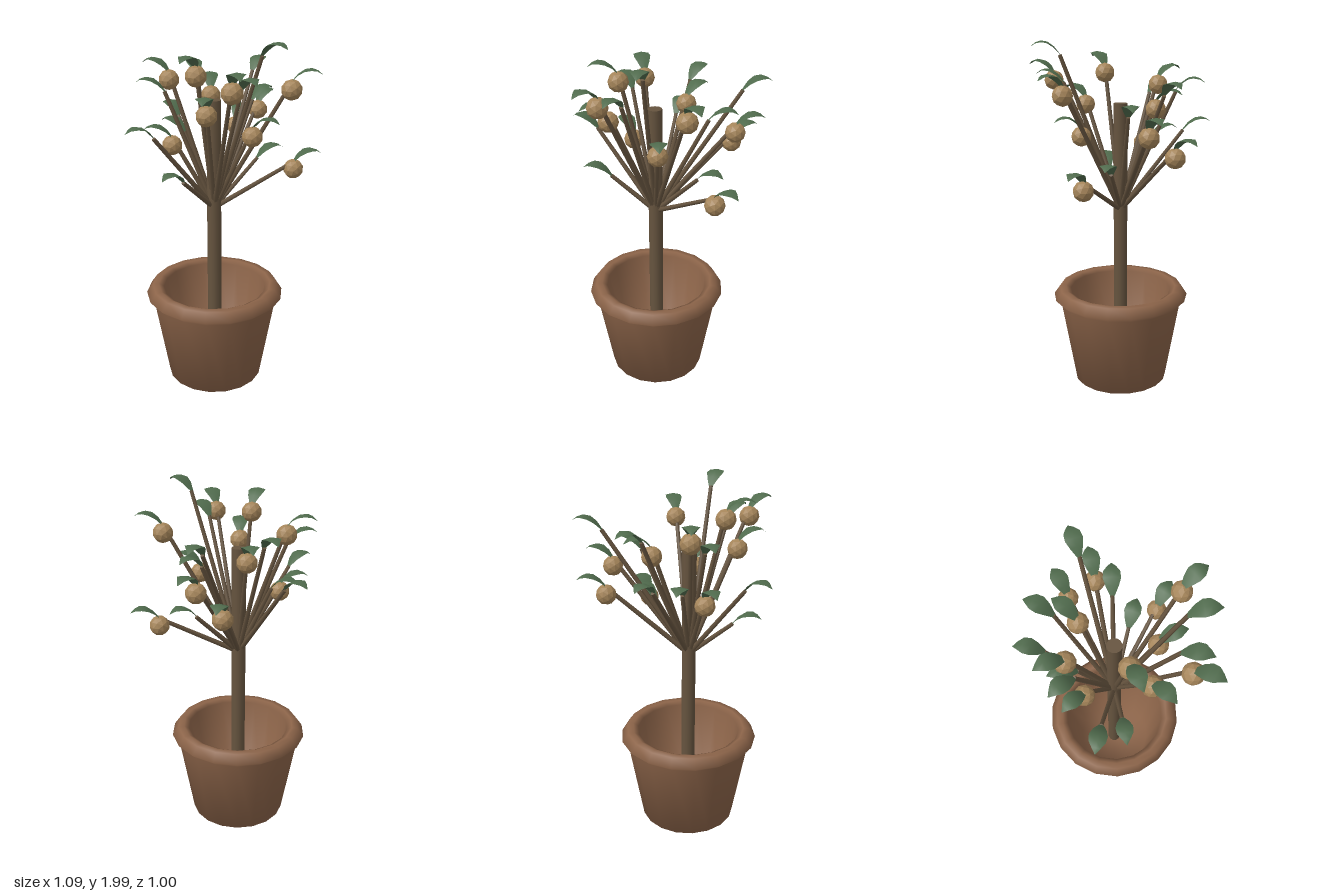
import * as THREE from 'three';

const mat = (name, color, extra = {}) => {
  const m = new THREE.MeshStandardMaterial({ color, ...extra });
  m.name = name;
  return m;
};

const CX = -0.075, CZ = -0.025; // trunk axis

// Branch tips: x, y, z, and 1 where a fruit hangs
const BRANCHES = [
  [0.03, 1.50, -0.36, 0], [0.11, 1.73, -0.28, 0], [0.09, 1.67, -0.17, 1], [0.345, 1.445, -0.18, 1],
  [0.39, 1.735, -0.095, 0], [0.355, 1.56, -0.03, 1], [0.21, 1.61, 0.03, 0], [0.155, 1.30, 0.107, 0],
  [0.247, 1.285, 0.288, 1], [0.10, 1.76, 0.35, 1], [-0.05, 1.52, 0.21, 1], [-0.113, 1.915, 0.305, 0],
  [-0.223, 1.76, 0.26, 0], [-0.336, 1.805, 0.285, 1], [-0.308, 1.665, 0.108, 1], [-0.26, 1.845, 0.005, 1],
  [-0.322, 1.25, -0.04, 0], [-0.403, 1.485, -0.165, 0], [-0.205, 1.44, -0.21, 1], [-0.21, 1.69, -0.25, 0],
  [-0.142, 1.78, -0.275, 1], [-0.087, 1.45, -0.22, 0],
];

// Arched leaf growing along +x from the origin
function leafGeometry() {
  const rows = [ // out, up, half width
    [-0.01, -0.005, 0.008], [0.03, 0.045, 0.033], [0.065, 0.07, 0.046],
    [0.10, 0.076, 0.042], [0.13, 0.066, 0.022], [0.157, 0.044, 0.001],
  ];
  const pos = [], index = [];
  rows.forEach(([x, y, w], i) => {
    pos.push(x, y - w * 0.2, -w, x, y, 0, x, y - w * 0.2, w);
    if (i === 0) return;
    for (let k = 0; k < 2; k++) {
      const a = (i - 1) * 3 + k, b = a + 3;
      index.push(a, a + 1, b, a + 1, b + 1, b);
    }
  });
  const g = new THREE.BufferGeometry();
  g.setAttribute('position', new THREE.Float32BufferAttribute(pos, 3));
  g.setIndex(index);
  g.computeVertexNormals();
  return g;
}

export function createModel() {
  const clay = mat('clay', 0x8c6449, { side: THREE.DoubleSide });
  const bark = mat('bark', 0x66543f);
  const leafGreen = mat('leaf green', 0x506b4d, { side: THREE.DoubleSide });
  const fruitTan = mat('fruit tan', 0xa5855a, { flatShading: true });

  const model = new THREE.Group();
  model.name = 'pottedFruitTree';
  const add = (parent, geo, material, name) => {
    const m = new THREE.Mesh(geo, material);
    m.name = name;
    parent.add(m);
    return m;
  };

  // Hollow pot with a bulging rim
  const profile = [
    [0, 0], [0.275, 0], [0.36, 0.49], [0.395, 0.52], [0.36, 0.57],
    [0.325, 0.572], [0.295, 0.555], [0.22, 0.06], [0, 0.05],
  ].map(([x, y]) => new THREE.Vector2(x, y));
  add(model, new THREE.LatheGeometry(profile, 18), clay, 'pot').position.set(CX, 0, CZ);

  // Trunk
  add(model, new THREE.CylinderGeometry(0.04, 0.04, 1.6, 12), bark, 'trunk').position.set(CX, 0.85, CZ);

  // Branches, each ending in a leaf and sometimes a fruit
  const leafGeo = leafGeometry();
  const fruitGeo = new THREE.IcosahedronGeometry(0.056, 1);
  const start = new THREE.Vector3(CX, 1.04, CZ);
  const up = new THREE.Vector3(0, 1, 0);
  BRANCHES.forEach(([x, y, z, hasFruit]) => {
    const group = new THREE.Group();
    group.name = 'branchWithLeaf';
    model.add(group);
    const tip = new THREE.Vector3(x, y, z);
    const dir = tip.clone().sub(start);
    const branch = add(group, new THREE.CylinderGeometry(0.011, 0.015, dir.length(), 6), bark, 'branch');
    branch.position.copy(start).add(tip).multiplyScalar(0.5);
    branch.quaternion.setFromUnitVectors(up, dir.clone().normalize());
    const leaf = add(group, leafGeo, leafGreen, 'leaf');
    leaf.position.copy(tip);
    leaf.rotation.y = Math.atan2(-dir.z, dir.x);
    if (hasFruit) add(group, fruitGeo, fruitTan, 'fruit').position.set(x, y - 0.04, z);
  });
  return model;
}
